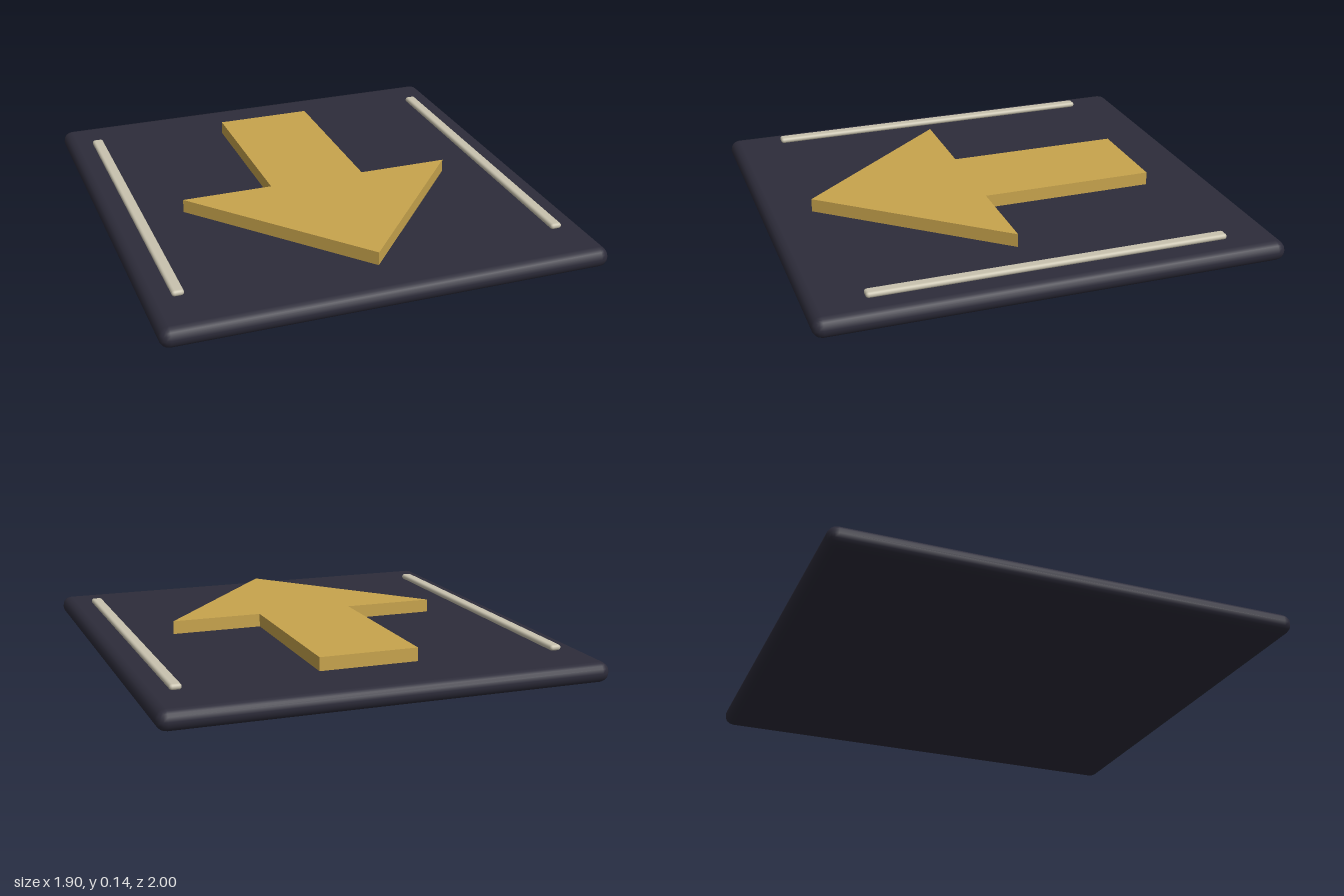
import * as THREE from 'three';
import { RoundedBoxGeometry } from 'three/addons/geometries/RoundedBoxGeometry.js';

const material = (name, color) => {
  const m = new THREE.MeshStandardMaterial({ color });
  m.name = name;
  return m;
};

export function createModel() {
  const group = new THREE.Group();
  group.name = 'arrowPanel';
  const navy = material('dark navy', 0x2d2c3a);
  const gold = material('gold', 0xc8a44d);
  const cream = material('pale stone', 0xc9c3af);

  const add = (name, geometry, mat, x, y, z) => {
    const mesh = new THREE.Mesh(geometry, mat);
    mesh.name = name;
    mesh.position.set(x, y, z);
    group.add(mesh);
  };

  // Rounded base plate
  const plateTop = 0.086;
  add('basePlate', new RoundedBoxGeometry(1.9, plateTop, 2, 2, 0.042), navy, 0, plateTop / 2, 0);

  // Raised arrow pointing to the front (shape y becomes -z)
  const outline = [
    [-0.215, 0.7], [-0.215, -0.07], [-0.615, -0.07], [0, -0.795],
    [0.615, -0.07], [0.215, -0.07], [0.215, 0.7],
  ].map(([x, y]) => new THREE.Vector2(x, y));
  const arrow = new THREE.ExtrudeGeometry(new THREE.Shape(outline), { depth: 0.059, bevelEnabled: false });
  arrow.rotateX(-Math.PI / 2);
  add('arrow', arrow, gold, 0, 0.085, 0);

  // Slim rails along both sides
  const rail = new RoundedBoxGeometry(0.05, 0.025, 1.54, 2, 0.012);
  for (const [name, side] of [['leftRail', 1], ['rightRail', -1]]) {
    add(name, rail, cream, side * 0.82, 0.102, 0);
  }
  return group;
}
